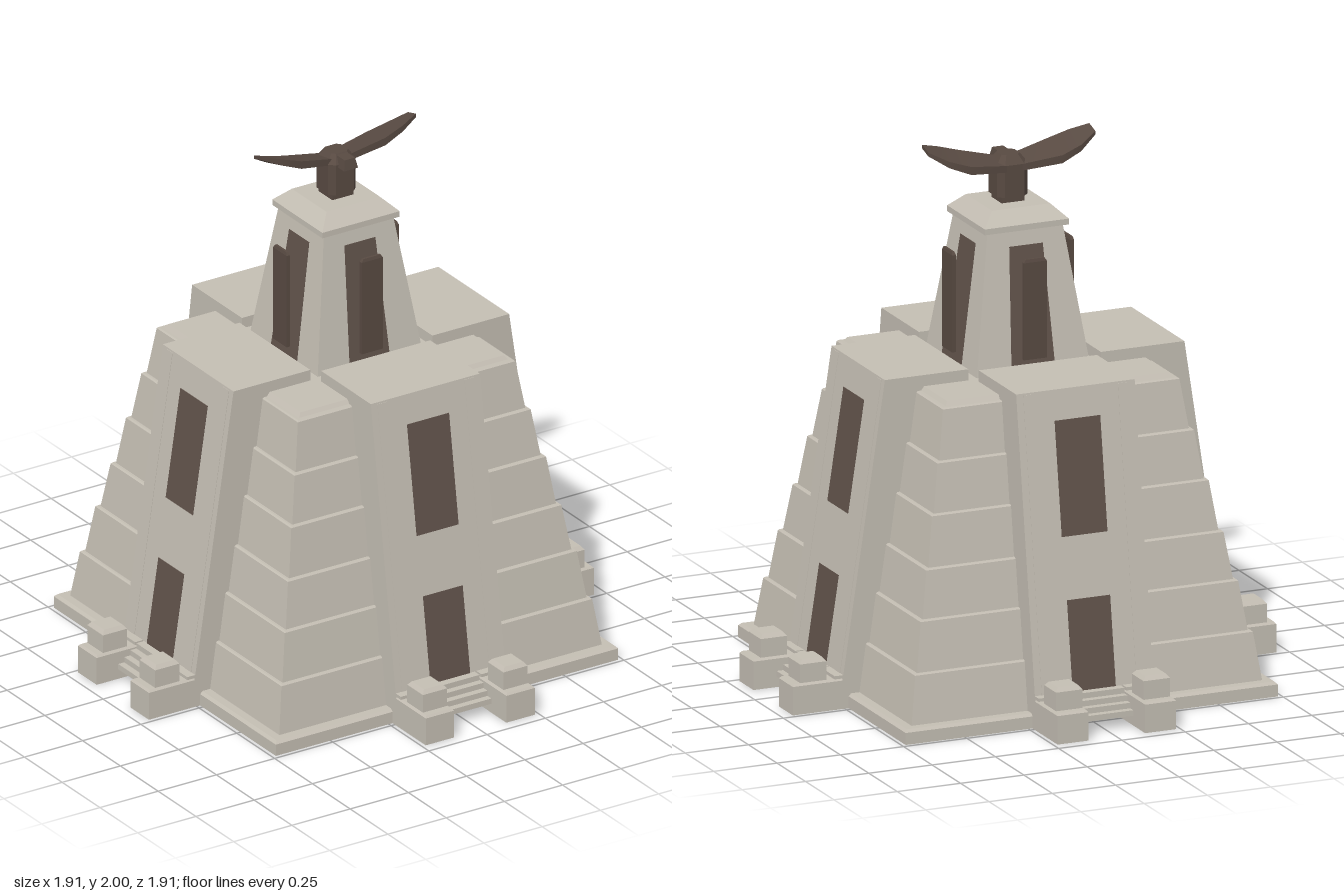
import * as THREE from 'three';

const mat = (name, color, side = THREE.FrontSide) => {
  const m = new THREE.MeshStandardMaterial({ color, side });
  m.name = name;
  return m;
};

// Move the vertices of a geometry by a rule, keeping flat faces
function warp(geo, rule) {
  const p = geo.attributes.position, v = new THREE.Vector3();
  for (let i = 0; i < p.count; i++) {
    rule(v.fromBufferAttribute(p, i));
    p.setXYZ(i, v.x, v.y, v.z);
  }
  geo.computeVertexNormals();
  return geo;
}

// Block whose bottom and top rectangles [x0, x1, z0, z1] differ
function block(y0, y1, bottom, top = bottom) {
  return warp(new THREE.BoxGeometry(1, 1, 1), v => {
    const r = v.y > 0 ? top : bottom;
    v.set(r[v.x > 0 ? 1 : 0], v.y > 0 ? y1 : y0, r[v.z > 0 ? 3 : 2]);
  });
}
const sq = h => [-h, h, -h, h];
const frustum = (y0, y1, h0, h1 = h0) => block(y0, y1, sq(h0), sq(h1));

// Remove the bottom face of a block
function openBottom(geo) {
  const index = Array.from(geo.index.array);
  index.splice(18, 6);
  geo.setIndex(index);
  geo.clearGroups();
  return geo;
}

// Thin plate on a sloping face z = face(y), centred on x = c
function plate(y0, y1, w0, w1, face, c = 0) {
  const a = face(y0), b = face(y1), t = 0.0015;
  return block(y0, y1, [c - w0, c + w0, a - t, a + t], [c - w1, c + w1, b - t, b + t]);
}

// Upright prism: a rectangle with chamfered corners
function chamfered(y0, y1, half, flat, top = 1) {
  const geo = new THREE.CylinderGeometry(1, 1, 1, 8, 1, false, Math.PI / 8).toNonIndexed();
  return warp(geo, v => {
    const k = v.y > 0 ? top : 1;
    const size = (a, b) => Math.abs(a) < 0.01 ? 0 : k * Math.sign(a) * (Math.abs(a) > Math.abs(b) ? half : flat);
    v.set(size(v.x, v.z), v.y > 0 ? y1 : y0, size(v.z, v.x));
  });
}

export function createModel() {
  const stone = mat('stone', 0xc4beb3, THREE.DoubleSide);
  const dark = mat('dark brown openings', 0x60524a);
  const bronze = mat('dark bronze', 0x584a42);

  const model = new THREE.Group();
  model.name = 'steppedTemple';
  const add = (parent, name, geo, material) => {
    const m = new THREE.Mesh(geo, material);
    m.name = name;
    parent.add(m);
    return m;
  };

  // Plinth and stepped pyramid with bevelled tier edges
  add(model, 'plinth', frustum(0, 0.045, 0.735), stone);
  add(model, 'plinthBevel', frustum(0.045, 0.055, 0.735, 0.725), stone);
  const levels = [0.05, 0.238, 0.424, 0.602, 0.79, 0.973, 1.16];
  for (let i = 0; i < 6; i++) {
    const h = 0.693 - i * 0.04, y = levels[i + 1];
    add(model, 'tier' + (i + 1), frustum(levels[i], y - 0.005, h, h - 0.026), stone);
    add(model, 'tierBevel' + (i + 1), frustum(y - 0.005, y, h - 0.026, h - 0.031), stone);
  }
  add(model, 'terraceSlab', frustum(1.16, 1.175, 0.448, 0.437), stone);

  // Central tower with its cap
  add(model, 'tower', frustum(1.15, 1.69, 0.227, 0.149), stone);
  add(model, 'towerCornice', frustum(1.69, 1.712, 0.166), stone);
  add(model, 'towerRoof', frustum(1.712, 1.762, 0.166, 0.115), stone);

  // The same facade on all four sides
  const armFace = y => 0.775 - 0.1507 * y;
  const towerFace = y => 0.227 - 0.1444 * (y - 1.15);
  for (let k = 0; k < 4; k++) {
    const side = new THREE.Group();
    side.name = 'facade' + (k + 1);
    side.rotation.y = k * Math.PI / 2;
    model.add(side);

    const w = 0.234;
    add(side, 'buttress', block(0.04, 1.217, [-w, w, 0.262, armFace(0.04)], [-w, w, 0.262, armFace(1.217)]), stone);
    add(side, 'doorway', plate(0.12, 0.456, 0.085, 0.085, armFace), dark);
    add(side, 'window', plate(0.685, 1.105, 0.09, 0.09, armFace), dark);
    add(side, 'towerDoorway', plate(1.18, 1.632, 0.086, 0.066, towerFace), dark);

    // Free-standing slab before the tower doorway
    add(side, 'doorSlab', block(1.225, 1.59, [-0.045, 0.045, 0.226, 0.241]), bronze);
    add(side, 'doorSlabTop', block(1.59, 1.602, [-0.045, 0.045, 0.226, 0.241], [-0.037, 0.037, 0.229, 0.238]), bronze);

    // Staircase
    for (let i = 0; i < 4; i++) {
      add(side, 'step', block(0.042 + i * 0.021, 0.063 + i * 0.021, [-0.105, 0.105, 0.7, 0.867 - i * 0.026]), stone);
    }

    // Hollow piers with capped posts beside the stairs, and shallow pilasters above
    for (const s of [-1, 1]) {
      const c = s * 0.173;
      const rect = (hx, z0, z1) => [c - hx, c + hx, z0, z1];
      add(side, 'pier', openBottom(block(0, 0.107, rect(0.061, 0.71, 0.955))), stone);
      add(side, 'pierTop', openBottom(block(0.107, 0.115, rect(0.061, 0.71, 0.955), rect(0.054, 0.71, 0.948))), stone);
      add(side, 'pierLedge', block(0.115, 0.127, rect(0.061, 0.71, 0.79)), stone);
      add(side, 'post', block(0.115, 0.185, rect(0.052, 0.818, 0.922)), stone);
      add(side, 'postCap', block(0.185, 0.2, rect(0.052, 0.818, 0.922), rect(0.04, 0.83, 0.91)), stone);
      add(side, 'pilaster', plate(0.12, 1.21, 0.02, 0.02, armFace, s * 0.187), stone);
    }
  }

  // Winged figure on the roof
  const bird = new THREE.Group();
  bird.name = 'wingedFigure';
  model.add(bird);
  add(bird, 'pedestal', frustum(1.76, 1.785, 0.045), bronze);
  add(bird, 'body', chamfered(1.785, 1.905, 0.06, 0.038), bronze);
  add(bird, 'shoulders', chamfered(1.905, 1.938, 0.06, 0.038, 0.6), bronze);
  add(bird, 'head', block(1.895, 1.934, [-0.03, 0.03, 0.02, 0.1], [-0.022, 0.022, 0.02, 0.092]), bronze);

  // Wing stations: x, front z, front y, back z, back y, thickness
  const stations = [
    [0.03, 0.035, 1.92, -0.06, 1.905, 0.025],
    [0.18, 0.05, 1.955, -0.08, 1.925, 0.03],
    [0.26, 0.042, 1.98, -0.065, 1.95, 0.024],
    [0.33, 0.02, 2.0, -0.033, 1.985, 0.014],
  ];
  for (const s of [-1, 1]) {
    const wing = warp(new THREE.BoxGeometry(1, 1, 1, 3, 1, 1), v => {
      const q = stations[Math.round((s * v.x + 0.5) * 3)];
      const front = v.z > 0;
      v.set(s * q[0], (front ? q[2] : q[4]) - (v.y > 0 ? 0 : q[5]), front ? q[1] : q[3]);
    });
    add(bird, s > 0 ? 'leftWing' : 'rightWing', wing, bronze);
  }
  return model;
}
